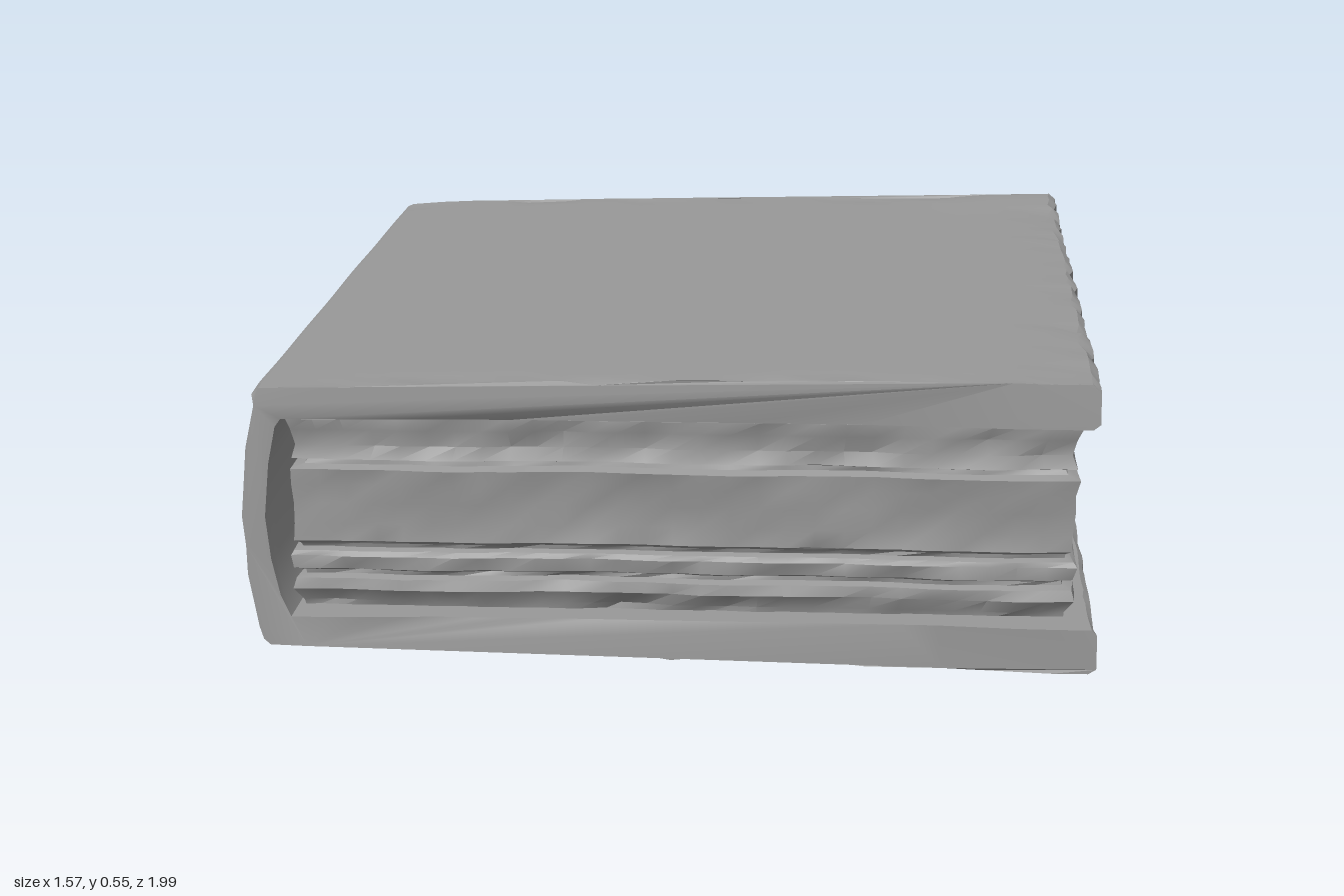
import * as THREE from 'three';
import { toCreasedNormals } from 'three/addons/utils/BufferGeometryUtils.js';

const grey = new THREE.MeshStandardMaterial({ color: 0x999999 });
grey.name = 'worn grey';

// Repeatable roughness: soft waves plus occasional sharp chips, 0..1
const wave = (a, b) => 0.5 + 0.25 * Math.sin(a * 9 + b * 5) + 0.25 * Math.sin(a * 23 - b * 11 + 1.7);
const chip = (a, b) => {
  const h = Math.sin(Math.round(a * 50) * 12.99 + Math.round(b * 50) * 78.23) * 43758.5;
  return Math.pow(h - Math.floor(h), 4);
};
const lerp = THREE.MathUtils.lerp;
const smooth = THREE.MathUtils.smoothstep;

function makeMesh(geometry, name, angle) {
  const mesh = new THREE.Mesh(toCreasedNormals(geometry, angle), grey);
  mesh.name = name;
  return mesh;
}

// Subdivide the straight runs of a closed outline
function subdivide(corners, spacing) {
  const points = [];
  corners.forEach(([x, y], i) => {
    const [nx, ny] = corners[(i + 1) % corners.length];
    const n = Math.max(1, Math.round(Math.hypot(nx - x, ny - y) / spacing));
    for (let k = 0; k < n; k++) points.push(new THREE.Vector2(lerp(x, nx, k / n), lerp(y, ny, k / n)));
  });
  return points;
}

// Front and back boards joined by the bowed spine, in one section
function makeCover() {
  const outline = [
    [-0.74, 0.035], [-0.4, 0.024], [0, 0.012], [0.43, 0.006], [0.765, 0.003],
    [0.78, 0.012], [0.78, 0.08], [0.77, 0.09], [-0.7, 0.09],
    [-0.72, 0.13], [-0.735, 0.2], [-0.742, 0.28], [-0.735, 0.38], [-0.72, 0.45], [-0.71, 0.465],
    [0.77, 0.465], [0.78, 0.475], [0.78, 0.538], [0.765, 0.55],
    [0.4, 0.548], [0, 0.543], [-0.4, 0.534], [-0.75, 0.522],
    [-0.762, 0.515], [-0.76, 0.49], [-0.775, 0.41], [-0.785, 0.28], [-0.778, 0.17], [-0.76, 0.07], [-0.752, 0.045],
  ];
  const geometry = new THREE.ExtrudeGeometry(new THREE.Shape(subdivide(outline, 0.07)), {
    depth: 2, steps: 44, bevelEnabled: false,
  });
  geometry.translate(0, 0, -1);
  const pos = geometry.attributes.position;
  for (let i = 0; i < pos.count; i++) {
    let x = pos.getX(i), y = pos.getY(i), z = pos.getZ(i);
    const x0 = x, y0 = y, z0 = z;
    const side = y0 > 0.28 ? 1 : -1;
    const outer = y0 > 0.5 || y0 < 0.05;
    const end = smooth(Math.abs(z0), 0.9, 1);
    const fore = smooth(x0, 0.7, 0.78);
    const spine = x0 < -0.7 && y0 > 0.06 && y0 < 0.5;

    // Shallow dents in the boards, deeper along their worn edges
    if (outer) {
      y -= side * (0.003 * wave(x0, z0) + end * 0.012 * chip(x0 + side, z0) + fore * 0.012 * chip(z0, side));
    }
    if (x0 > 0.75) x -= 0.004 * wave(z0, side) + 0.015 * chip(z0 + side, y0) * (outer ? 1 : 0.3);
    if (spine) x += 0.005 * (wave(y0 * 2, z0) - 0.5);

    // Ends are worn back between the better preserved corners
    if (Math.abs(z0) > 0.99) {
      const middle = smooth(x0, -0.65, -0.35) * (1 - smooth(x0, 0.58, 0.64));
      const wear = (z0 > 0 ? 0.018 : 0.012) * middle + 0.006 + 0.005 * wave(x0, y0 * 2)
        + (outer ? 0.012 * chip(x0, side) : 0);
      z -= Math.sign(z0) * wear;
      if (z0 < 0 && x0 > 0.6 && side > 0) z = -0.995;
    }
    // Curled-up rear fore-edge corner
    if (side > 0 && outer) y += 0.008 * smooth(x0, 0.45, 0.65) * smooth(-z0, 0.7, 0.95);
    pos.setXYZ(i, x, Math.max(0, y), z);
  }
  return makeMesh(geometry, 'cover', 0.55);
}

// Page block: rectangular rings stacked by height, with deep gaps between page bundles
function makePages() {
  const profile = [
    [0.08, 0.025], [0.1, 0.02], [0.125, 0.004], [0.145, 0.008], [0.15, 0.026], [0.158, 0.024],
    [0.165, 0.004], [0.19, 0], [0.199, 0.006], [0.203, 0.022], [0.211, 0.02], [0.217, 0.01],
    [0.25, 0.012], [0.29, 0.008], [0.325, 0.006], [0.355, 0], [0.361, 0.022], [0.37, 0.024],
    [0.375, 0.003], [0.4, 0.01], [0.43, 0.005], [0.455, -0.002], [0.475, 0],
  ];
  const ring = subdivide([[-1, -1], [1, -1], [1, 1], [-1, 1]], 2 / 28);
  const n = ring.length;
  const vertices = [], index = [];
  profile.forEach(([y, inset], j) => {
    for (const { x: u, y: v } of ring) {
      const rough = 0.008 * wave(u + v * 0.7, y * 6) + 0.007 * chip(u + y, v - y);
      const d = inset + rough;
      const x = u > 0 ? u * (0.75 - d) : u * (0.715 - d);
      const sag = j > 0 && j < profile.length - 1 ? 0.005 * (wave(u * 0.4, v * 0.4) - 0.5) : 0;
      vertices.push(x, y + sag, v * (0.935 - d));
    }
  });
  for (let j = 0; j < profile.length - 1; j++) {
    for (let i = 0; i < n; i++) {
      const a = j * n + i, b = j * n + (i + 1) % n;
      index.push(a, a + n, b, b, a + n, b + n);
    }
  }
  const geometry = new THREE.BufferGeometry();
  geometry.setAttribute('position', new THREE.Float32BufferAttribute(vertices, 3));
  geometry.setIndex(index);
  return makeMesh(geometry.toNonIndexed(), 'pages', 0.6);
}

export function createModel() {
  const book = new THREE.Group();
  book.name = 'book';
  book.add(makeCover(), makePages());
  return book;
}
